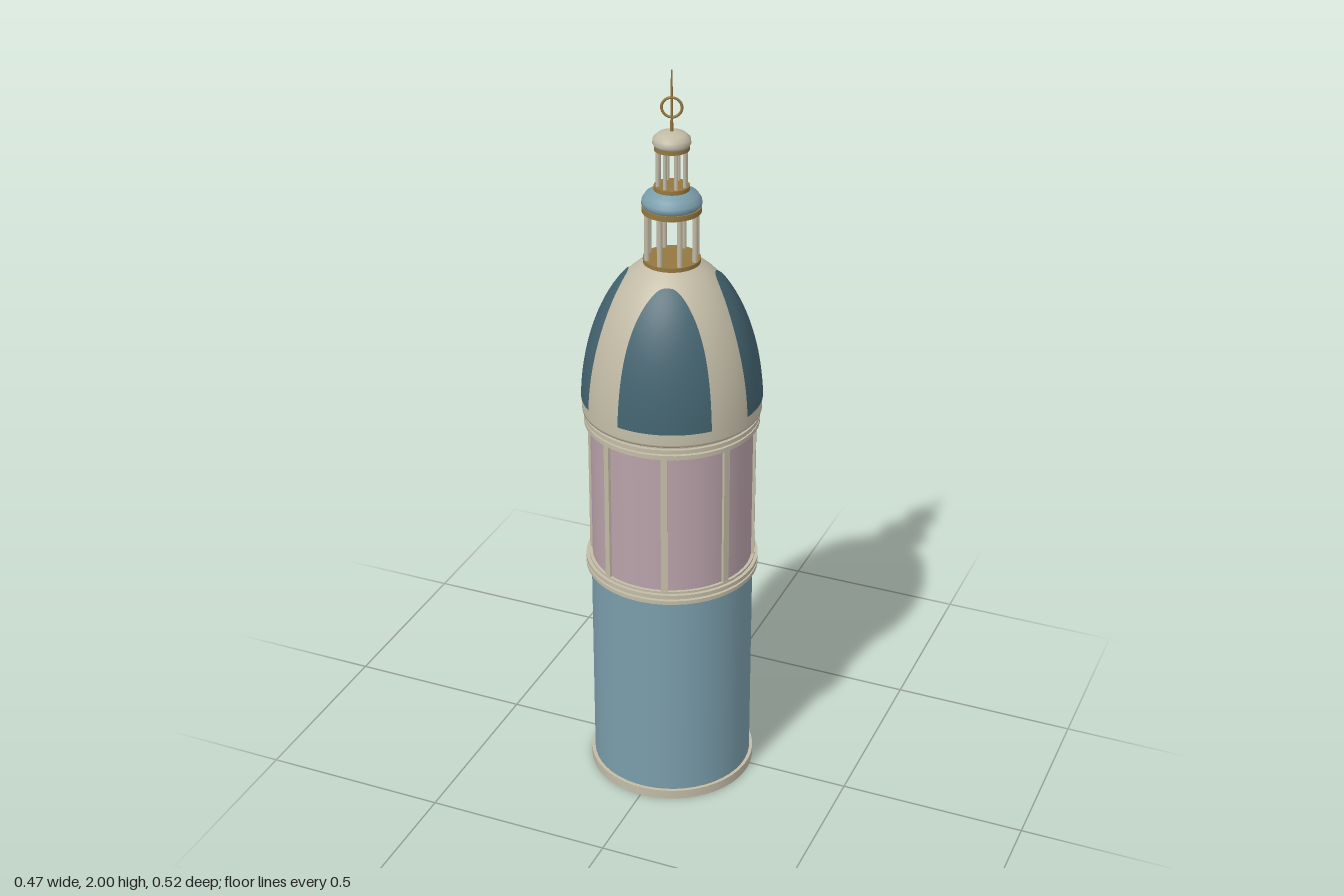
import * as THREE from 'three';

const mat = (name, color) => {
  const m = new THREE.MeshStandardMaterial({ color });
  m.name = name;
  return m;
};

export function createModel() {
  const cream = mat('cream stone', 0xc2bba6);
  const blue = mat('blue wall', 0x7a9dab);
  const pink = mat('pink wall', 0xb8a2a9);
  const slate = mat('slate blue', 0x43636f);
  const gold = mat('gold', 0x94783f);

  const root = new THREE.Group();
  root.name = 'domedTower';
  const tower = new THREE.Group();
  tower.name = 'tower';
  tower.position.z = 0.027;
  tower.rotation.y = 0.308;
  root.add(tower);

  const add = (name, geo, material, x = 0, y = 0, z = 0, parent = tower) => {
    const m = new THREE.Mesh(geo, material);
    m.name = name;
    m.position.set(x, y, z);
    parent.add(m);
    return m;
  };
  // Upright drum from y0 to y1
  const drum = (name, r, y0, y1, material, seg = 48) =>
    add(name, new THREE.CylinderGeometry(r, r, y1 - y0, seg), material, 0, (y0 + y1) / 2);
  const lathe = (name, pts, material, seg = 48) =>
    add(name, new THREE.LatheGeometry(pts.map(([r, y]) => new THREE.Vector2(r, y)), seg), material);
  const box = (name, w, h, d, material, x, y, z, parent) =>
    add(name, new THREE.BoxGeometry(w, h, d), material, x, y, z, parent);

  // Walls and cornices
  drum('basePlinth', 0.224, 0, 0.026, cream);
  drum('lowerWall', 0.215, 0.026, 0.63, blue);
  drum('upperWall', 0.212, 0.66, 1.06, pink);
  drum('lowerCornice', 0.229, 0.628, 0.639, cream);
  drum('lowerCorniceGroove', 0.22, 0.639, 0.645, cream);
  drum('lowerCorniceLip', 0.229, 0.645, 0.656, cream);
  drum('lowerCorniceTop', 0.22, 0.656, 0.662, cream);
  drum('upperCornice', 0.228, 1.056, 1.068, cream);
  drum('upperCorniceGroove', 0.219, 1.068, 1.073, cream);
  drum('upperCorniceLip', 0.228, 1.073, 1.084, cream);
  drum('domeSeat', 0.22, 1.084, 1.096, cream);

  // Pilasters around the upper wall
  for (let i = 0; i < 8; i++) {
    const a = (i * Math.PI) / 4;
    const p = box('pilaster', 0.018, 0.4, 0.012, cream, Math.sin(a) * 0.213, 0.858, Math.cos(a) * 0.213);
    p.rotation.y = a;
  }

  // Dome with an elliptical profile
  const domeR = (y) => 0.232 * Math.sqrt(Math.max(0, 1 - ((y - 1.1) / 0.42) ** 2));
  const profile = [[0.215, 1.092], [0.232, 1.094]];
  for (let i = 0; i <= 14; i++) {
    const y = 1.1 + 0.42 * Math.sin((i / 14) * 1.26);
    profile.push([domeR(y), y]);
  }
  profile.push([0.066, 1.504], [0, 1.504]);
  lathe('dome', profile, cream);

  // Four slate panels tapering to rounded tops
  const panel = new THREE.PlaneGeometry(2, 1, 14, 24);
  const pp = panel.attributes.position;
  for (let i = 0; i < pp.count; i++) {
    const t = 1 - (0.5 - pp.getY(i)) ** 1.7;
    const y = 1.13 + 0.343 * t;
    const a = pp.getX(i) * 0.53 * Math.pow(Math.max(0, 1 - t ** 5), 0.4);
    const r = domeR(y) + 0.003;
    pp.setXYZ(i, r * Math.sin(a), y + 0.002 * t, r * Math.cos(a));
  }
  panel.computeVertexNormals();
  for (let i = 0; i < 4; i++) add('domePanel', panel, slate).rotation.y = (i * Math.PI) / 2;

  // Two-tier lantern
  const columns = (name, n, r, radius, y0, y1) => {
    for (let i = 0; i < n; i++) {
      const a = ((i + 0.5) / n) * Math.PI * 2;
      add(name, new THREE.CylinderGeometry(radius, radius, y1 - y0, 8), cream,
        Math.sin(a) * r, (y0 + y1) / 2, Math.cos(a) * r);
    }
  };
  drum('lanternFloor', 0.073, 1.5, 1.511, gold, 32);
  columns('lanternColumn', 8, 0.065, 0.007, 1.511, 1.638);
  drum('lanternRing', 0.075, 1.636, 1.65, gold, 32);
  lathe('lanternRoof', [[0.07, 1.649], [0.076, 1.657], [0.075, 1.667], [0.066, 1.681],
    [0.05, 1.69], [0.04, 1.697]], blue, 32);
  drum('upperLanternFloor', 0.045, 1.693, 1.704, gold, 32);
  columns('upperLanternColumn', 8, 0.036, 0.005, 1.704, 1.8);
  drum('upperLanternRing', 0.044, 1.797, 1.808, gold, 32);
  lathe('lanternCap', [[0, 1.807], [0.044, 1.807], [0.048, 1.815], [0.046, 1.828],
    [0.035, 1.838], [0.018, 1.843], [0, 1.845]], cream, 32);

  // Finial
  add('finialSpike', new THREE.CylinderGeometry(0.002, 0.004, 0.16, 8), gold, 0, 1.92, 0);
  add('finialRing', new THREE.TorusGeometry(0.025, 0.0035, 8, 28), gold, 0, 1.905, 0);

  // Window and balcony, built facing +z and turned to the back
  const bay = new THREE.Group();
  bay.name = 'balconyWindow';
  bay.rotation.y = Math.PI;
  tower.add(bay);
  box('windowGlass', 0.1, 0.16, 0.02, slate, 0, 0.515, 0.208, bay);
  box('windowLintel', 0.12, 0.014, 0.026, cream, 0, 0.6, 0.211, bay);
  box('balconySlab', 0.151, 0.018, 0.078, cream, 0, 0.424, 0.241, bay);
  box('frontRail', 0.135, 0.01, 0.012, cream, 0, 0.469, 0.266, bay);
  for (let i = -3; i <= 3; i++)
    add('baluster', new THREE.CylinderGeometry(0.005, 0.005, 0.034, 8), cream, i * 0.0205, 0.449, 0.266, bay);
  for (const s of [-1, 1]) {
    box('windowJamb', 0.01, 0.16, 0.024, slate, s * 0.05, 0.515, 0.21, bay);
    box('windowMullion', 0.005, 0.16, 0.006, slate, s * 0.017, 0.515, 0.22, bay);
    box('sideRail', 0.01, 0.01, 0.06, cream, s * 0.063, 0.469, 0.238, bay);
    add('sideBaluster', new THREE.CylinderGeometry(0.005, 0.005, 0.034, 8), cream, s * 0.063, 0.449, 0.24, bay);
    box('balconyBracket', 0.016, 0.034, 0.03, cream, s * 0.048, 0.399, 0.222, bay);
    // Scrolls and slim spikes of the pediment
    add('pedimentScroll', new THREE.SphereGeometry(0.016, 16, 10), cream, s * 0.063, 0.67, 0.22, bay);
    add('pedimentSpike', new THREE.CylinderGeometry(0.002, 0.004, 0.08, 8), cream, s * 0.042, 0.73, 0.225, bay);
  }
  const arch = new THREE.CatmullRomCurve3([
    [-0.063, 0.665, 0.222], [-0.03, 0.678, 0.23], [0, 0.686, 0.233], [0.03, 0.678, 0.23], [0.063, 0.665, 0.222],
  ].map((p) => new THREE.Vector3(...p)));
  add('pedimentArch', new THREE.TubeGeometry(arch, 20, 0.011, 8), cream, 0, 0, 0, bay);

  return root;
}
